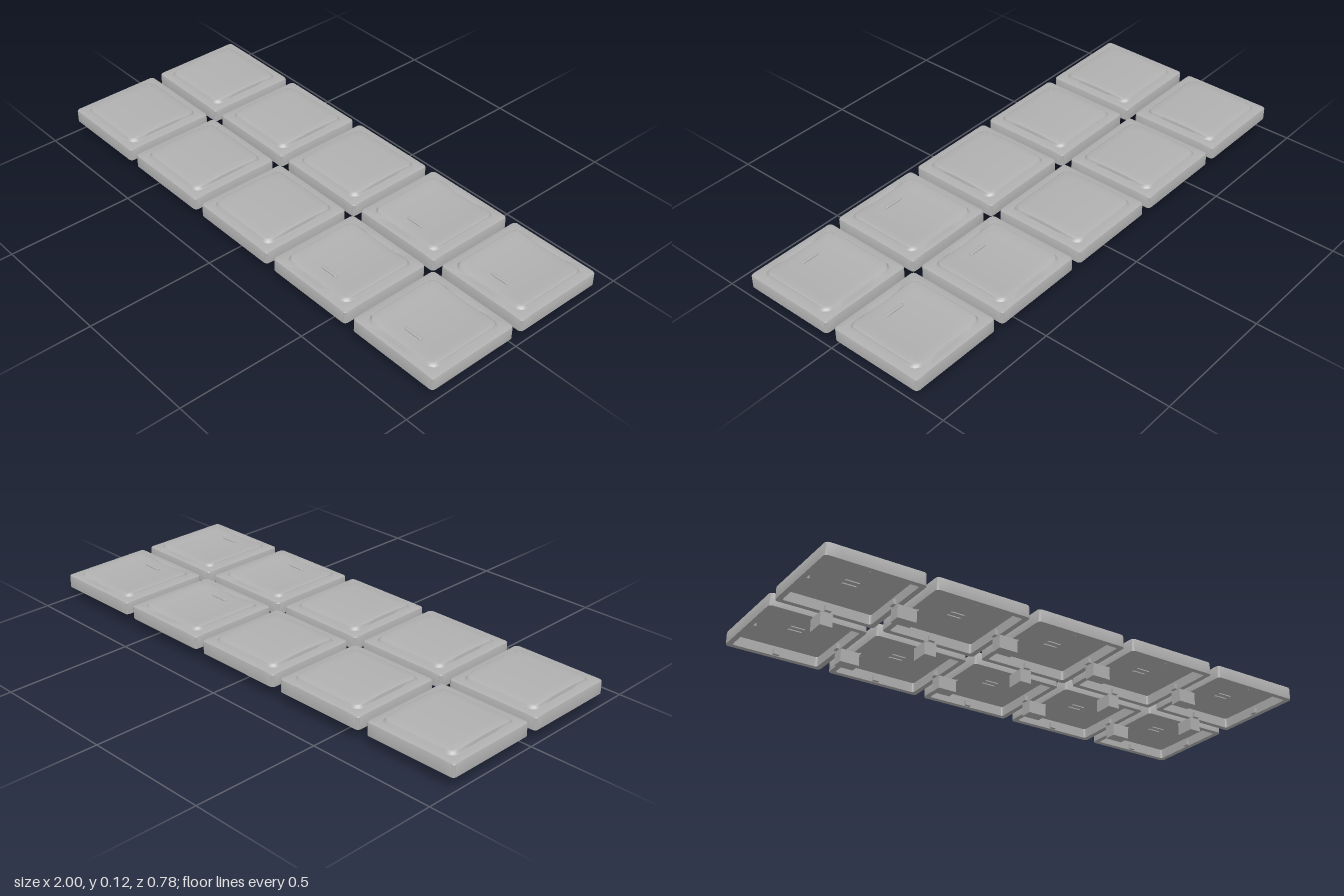
import * as THREE from 'three';
import { toCreasedNormals } from 'three/addons/utils/BufferGeometryUtils.js';
import { RoundedBoxGeometry } from 'three/addons/geometries/RoundedBoxGeometry.js';

const PITCH_X = 0.4065, ROW_Z = 0.204;

// Rounded square outline in the xz plane, with extra points along its straight sides
function outline(half, radius) {
  const pts = [], inner = half - radius, arc = 5, side = 8;
  for (let q = 0; q < 4; q++) {
    const turn = q * Math.PI / 2, c = Math.cos(turn), s = Math.sin(turn);
    const add = (x, z) => pts.push([x * c - z * s, x * s + z * c]);
    for (let i = 0; i < side; i++) add(half, -inner + 2 * inner * i / side);
    for (let i = 0; i < arc; i++) {
      const a = i / arc * Math.PI / 2;
      add(inner + radius * Math.cos(a), inner + radius * Math.sin(a));
    }
  }
  return pts;
}

// Hollow cap lofted from the ceiling, round the rim and skirt, up to the curved top
function capGeometry(topHeight) {
  const rings = [
    [0, 0, 0.088], [0.166, 0.008, 0.088], [0.166, 0.008, 0.05],
    [0.186, 0.014, 0.05], [0.186, 0.014, 0.095], [0.1845, 0.014, 0.0985], [0.181, 0.014, 0.1],
    [0.156, 0.03, 0.1], [0.153, 0.03, 0.103],
  ];
  const flat = (r) => outline(r[0], r[1]).map(([x, z]) => [x, r[2], z]);
  const loops = rings.map(flat);
  // Sloped shoulder that follows the height of the top, then the top itself
  const shoulder = [[0.15, 0.03, 0.003], [0.147, 0.03, 0.001], [0.142, 0.028, 0]];
  for (const [half, radius, drop] of shoulder)
    loops.push(outline(half, radius).map(([x, z]) => [x, topHeight(x, z) - drop, z]));
  for (const k of [0.8, 0.6, 0.4, 0.2, 0])
    loops.push(outline(0.142 * k, 0.028 * k).map(([x, z]) => [x, topHeight(x, z), z]));

  const pos = [], n = loops[0].length;
  for (let i = 0; i < loops.length - 1; i++) {
    for (let j = 0; j < n; j++) {
      const k = (j + 1) % n;
      const a = loops[i][j], b = loops[i][k], c = loops[i + 1][j], d = loops[i + 1][k];
      if (i > 0) pos.push(...a, ...c, ...b);
      if (i < loops.length - 2) pos.push(...b, ...c, ...d);
    }
  }
  const g = new THREE.BufferGeometry();
  g.setAttribute('position', new THREE.Float32BufferAttribute(pos, 3));
  return toCreasedNormals(g, 0.5);
}

export function createModel() {
  const model = new THREE.Group();
  model.name = 'keycapSet';
  const grey = new THREE.MeshStandardMaterial({ color: 0xb0b0b0 });
  grey.name = 'grey plastic';

  const mesh = (geometry, name, x, y, z, parent) => {
    const m = new THREE.Mesh(geometry, grey);
    m.name = name;
    m.position.set(x, y, z);
    parent.add(m);
    return m;
  };

  const domed = capGeometry((x, z) => 0.118 - 0.006 * (z / 0.146) ** 2);
  const dished = capGeometry((x) => 0.104 + 0.009 * (x / 0.146) ** 2);
  const bar = new RoundedBoxGeometry(0.076, 0.012, 0.012, 3, 0.005);
  const rib = new THREE.BoxGeometry(0.052, 0.005, 0.007);
  const nub = new THREE.BoxGeometry(0.014, 0.02, 0.024);
  const clip = new THREE.BoxGeometry(0.074, 0.05, 0.047);

  for (const row of [-1, 1]) {
    for (let col = -2; col <= 2; col++) {
      const key = new THREE.Group();
      key.name = 'keycap';
      key.position.set(col * PITCH_X, 0, row * ROW_Z);
      model.add(key);
      mesh(col > 0 ? dished : domed, 'cap', 0, 0, 0, key);
      if (col > 0) mesh(bar, 'homingBar', 0, 0.105, 0.09, key);

      // Stem ribs under the ceiling
      for (const s of [-1, 1]) mesh(rib, 'stemRib', 0, 0.0865, s * 0.013, key);

      // Small catches in the middle of each inner wall
      for (let q = 0; q < 4; q++) {
        const a = q * Math.PI / 2;
        const m = mesh(nub, 'catch', Math.cos(a) * 0.161, 0.062, -Math.sin(a) * 0.161, key);
        m.rotation.y = a;
      }
    }
    // Clips joining neighbours along the row
    for (const x of [-1.5, -0.5, 0.5, 1.5])
      mesh(clip, 'sideClip', x * PITCH_X, 0.025, row * ROW_Z, model);
  }

  // Clips joining the two rows
  for (let col = -2; col <= 2; col++)
    mesh(clip, 'rowClip', col * PITCH_X, 0.025, 0, model).rotation.y = Math.PI / 2;

  return model;
}
